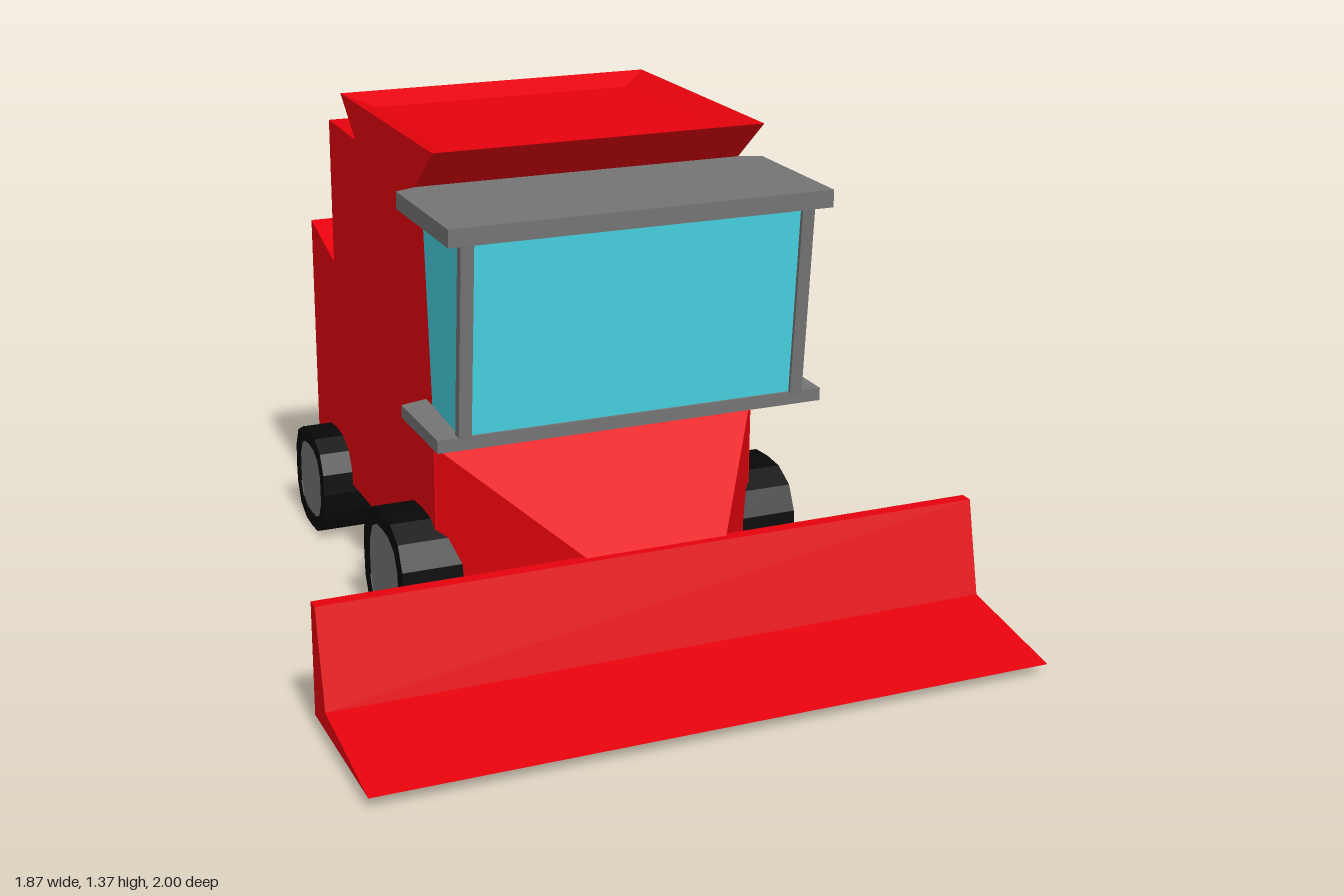
import * as THREE from 'three';

const mat = (color) => new THREE.MeshStandardMaterial({ color, flatShading: true });
const XC = -0.025; // centre line of the machine body

// Extrudes a (z, y) side profile from x0 to x1.
function sideProfile(points, x0, x1) {
  const shape = new THREE.Shape(points.map(([z, y]) => new THREE.Vector2(z, y)));
  const g = new THREE.ExtrudeGeometry(shape, { depth: x1 - x0, bevelEnabled: false });
  return g.rotateY(-Math.PI / 2).translate(x1, 0, 0);
}

// Joins equal-length rings (counter-clockwise seen from the last ring's end) and caps both ends.
function loft(rings) {
  const pos = [];
  const tri = (...p) => p.forEach((v) => pos.push(...v));
  const n = rings[0].length;
  for (let i = 0; i < rings.length - 1; i++) {
    for (let j = 0; j < n; j++) {
      const k = (j + 1) % n;
      const a = rings[i][j], b = rings[i][k], c = rings[i + 1][k], d = rings[i + 1][j];
      tri(a, b, c);
      tri(a, c, d);
    }
  }
  const first = rings[0], last = rings[rings.length - 1];
  for (let j = 1; j < n - 1; j++) {
    tri(first[0], first[j + 1], first[j]);
    tri(last[0], last[j], last[j + 1]);
  }
  const g = new THREE.BufferGeometry();
  g.setAttribute('position', new THREE.Float32BufferAttribute(pos, 3));
  g.computeVertexNormals();
  return g;
}

// Horizontal four-cornered ring; the rear may be narrower than the front.
const flatRing = (y, x0, x1, zBack, zFront, taper = 0) => [
  [x1, y, zFront], [x1 - taper, y, zBack], [x0 + taper, y, zBack], [x0, y, zFront],
];
// Upright four-cornered ring facing +z.
const uprightRing = (z, x0, x1, y0, y1) => [[x1, y1, z], [x0, y1, z], [x0, y0, z], [x1, y0, z]];

// Flat slab with cut rear corners.
function slab(y0, y1, half, rearHalf, zFront, zSide, zRear) {
  const ring = (y) => [
    [half, zFront], [half, zSide], [rearHalf, zRear],
    [-rearHalf, zRear], [-half, zSide], [-half, zFront],
  ].map(([x, z]) => [XC + x, y, z]);
  return loft([ring(y0), ring(y1)]);
}

// Lathe around the x axis, pushed out towards a rounded square.
function squaredWheel(profile) {
  const g = new THREE.LatheGeometry(profile.map(([r, x]) => new THREE.Vector2(r, x)), 16);
  const p = g.attributes.position;
  for (let i = 0; i < p.count; i++) {
    const x = p.getX(i), z = p.getZ(i), r = Math.hypot(x, z);
    if (r < 1e-6) continue;
    const e = 2.8;
    const f = (Math.abs(x / r) ** e + Math.abs(z / r) ** e) ** (-1 / e);
    p.setX(i, x * f);
    p.setZ(i, z * f);
  }
  g.rotateZ(-Math.PI / 2);
  g.computeVertexNormals();
  return g;
}

export function createModel() {
  const model = new THREE.Group();
  const red = mat(0xe6020c), grey = mat(0x747474), glass = mat(0x48d4e4), black = mat(0x080808);
  const add = (name, geometry, material, parent = model) => {
    const mesh = new THREE.Mesh(geometry, material);
    mesh.name = name;
    parent.add(mesh);
    return mesh;
  };
  const L = -0.492, R = 0.442;

  // Main body with a stepped rear
  add('body', sideProfile([
    [0.205, 0.177], [0.205, 0.66], [0.15, 1.235], [0.09, 1.245], [0.085, 1.257],
    [-0.7, 1.27], [-0.7, 0.843], [-0.935, 0.912], [-0.935, 0.177],
  ], L, R), red);

  // Grain tank: flared outside, shallow tray inside
  add('grainTank', loft([
    flatRing(1.25, L, R, -0.42, 0.09),
    flatRing(1.373, L, R, -0.57, 0.243),
    flatRing(1.34, -0.41, 0.36, -0.5, 0.16),
  ]), red);

  // Feeder tapering down to the header
  add('feeder', loft([
    uprightRing(0.2, L, R, 0.177, 0.57),
    uprightRing(0.56, -0.2, 0.2, 0.177, 0.345),
  ]), red);

  // Wide cutting header
  add('header', sideProfile([
    [0.547, 0.033], [1, 0.033], [0.645, 0.085], [0.583, 0.345], [0.547, 0.345],
  ], -0.934, 0.934), red);

  // Cab
  const cab = new THREE.Group();
  cab.name = 'cab';
  model.add(cab);
  add('cabGlass', loft([
    flatRing(0.68, -0.505, 0.455, 0.2, 0.455, 0.013),
    flatRing(1.21, -0.505, 0.455, 0.15, 0.495, 0.013),
  ]), glass, cab);
  add('cabRoof', slab(1.205, 1.252, 0.527, 0.467, 0.53, 0.12, 0.095), grey, cab);
  add('cabFloor', slab(0.652, 0.687, 0.543, 0.467, 0.463, 0.17, 0.148), grey, cab);
  for (const s of [1, -1]) {
    const x = XC + s * 0.469;
    add(s > 0 ? 'leftPillar' : 'rightPillar', loft([
      flatRing(0.68, x - 0.0175, x + 0.0175, 0.438, 0.465),
      flatRing(1.21, x - 0.0175, x + 0.0175, 0.48, 0.507),
    ]), grey, cab);
  }

  // Unloading auger on the left side with an open spout
  const auger = new THREE.Group();
  auger.name = 'unloadingAuger';
  model.add(auger);
  add('augerArm', sideProfile([
    [-0.06, 0.857], [-0.07, 1.09], [-0.23, 1.11], [-1, 1.25], [-1, 1.11], [-0.885, 1.09], [-0.23, 0.97],
  ], 0.463, 0.597), red, auger);
  add('augerMount', sideProfile([
    [-0.06, 0.857], [-0.07, 1.09], [-0.24, 1.11], [-0.24, 0.967],
  ], 0.43, 0.464), red, auger);
  const square = (path, hx, hz) => path.moveTo(-hx, -hz).lineTo(hx, -hz)
    .lineTo(hx, hz).lineTo(-hx, hz).closePath();
  const spoutShape = square(new THREE.Shape(), 0.067, 0.0575);
  spoutShape.holes.push(square(new THREE.Path(), 0.042, 0.035));
  const spout = new THREE.ExtrudeGeometry(spoutShape, { depth: 0.15, bevelEnabled: false });
  spout.rotateX(-Math.PI / 2).translate(0.53, 0.96, -0.9425);
  const sp = spout.attributes.position;
  for (let i = 0; i < sp.count; i++) {
    if (sp.getY(i) < 1) sp.setY(i, 0.96 - (sp.getZ(i) + 0.9425) * 0.18);
  }
  spout.computeVertexNormals();
  add('augerSpout', spout, red, auger);

  // Wheels: straight-sided tyre with a hub showing on both faces
  const wheel = (name, x, z, r, hub) => {
    const g = new THREE.Group();
    g.name = name;
    const w = 0.0875, h = w - 0.003;
    add('tyre', squaredWheel([[hub, -h], [hub, -w], [r, -w], [r, w], [hub, w], [hub, h]]), black, g);
    add('hub', squaredWheel([[0, -h], [hub, -h], [hub, h], [0, h]]), grey, g);
    g.position.set(x, r, z);
    model.add(g);
  };
  for (const s of [1, -1]) {
    const side = s > 0 ? 'Left' : 'Right';
    wheel(`front${side}Wheel`, XC + s * 0.495, 0.093, 0.178, 0.132);
    wheel(`rear${side}Wheel`, XC + s * 0.47, -0.73, 0.154, 0.113);
  }
  return model;
}
